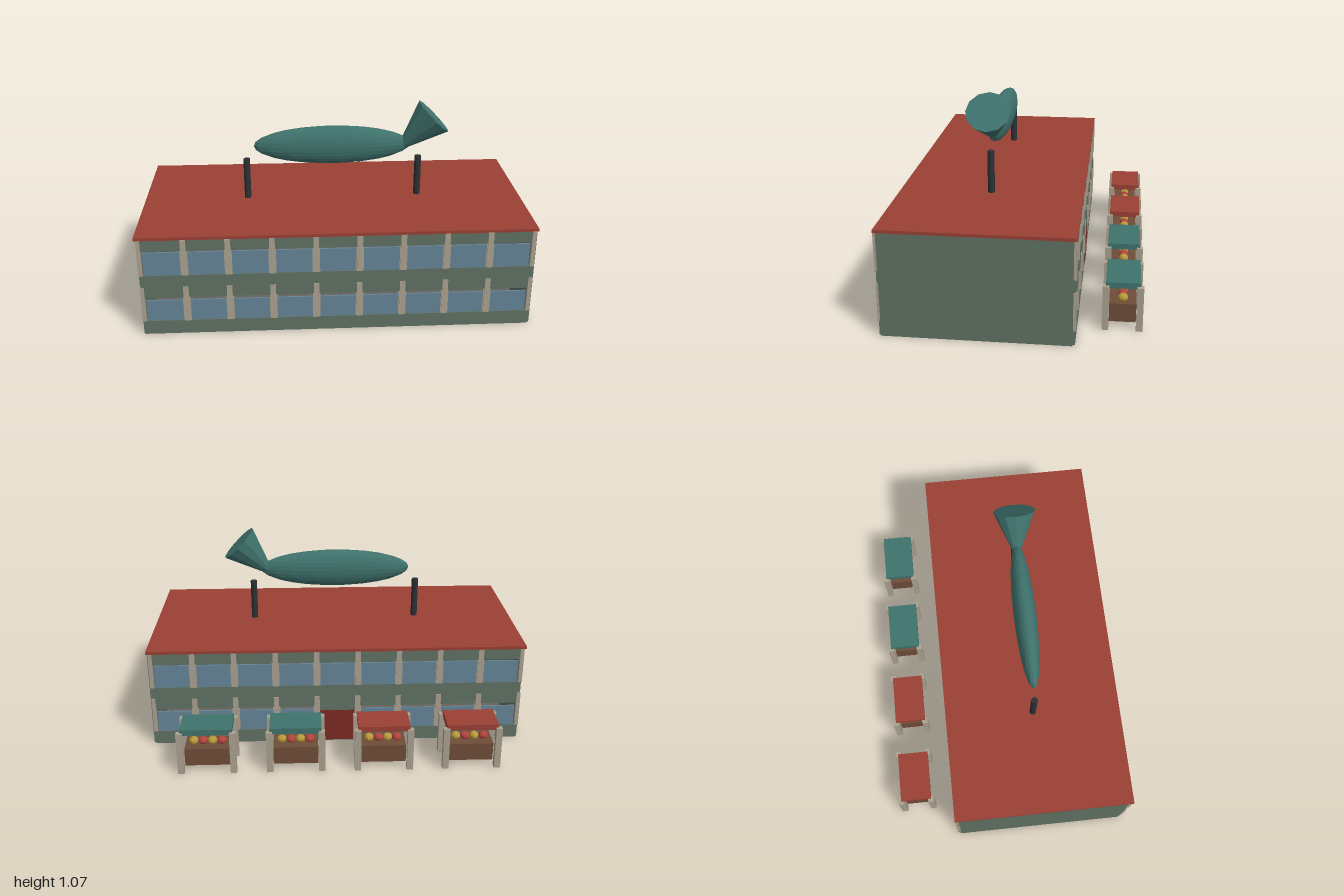
import * as THREE from 'three';

const mat = (color) => new THREE.MeshStandardMaterial({ color, flatShading: true });
const M = {
  wall: mat(0x607064), roof: mat(0x9a4034), glass: mat(0x648498), trim: mat(0xaaa08e),
  teal: mat(0x3f726c), pole: mat(0x2c3034), wood: mat(0x6e4d38), floor: mat(0x66625c),
  yellow: mat(0xb8983a), red: mat(0xb0453c), door: mat(0x7a2a22),
};

function add(parent, name, geometry, material, x = 0, y = 0, z = 0) {
  const mesh = new THREE.Mesh(geometry, material);
  mesh.name = name;
  mesh.position.set(x, y, z);
  parent.add(mesh);
  return mesh;
}

// Box given by its lower and upper limits
function box(parent, name, material, [x0, x1], [y0, y1], [z0, z1]) {
  return add(parent, name, new THREE.BoxGeometry(x1 - x0, y1 - y0, z1 - z0), material,
    (x0 + x1) / 2, (y0 + y1) / 2, (z0 + z1) / 2);
}

// One long side: wall bands, window panes and pilasters in nine bays
function facade(name, hasDoor) {
  const g = new THREE.Group();
  g.name = name;
  const bays = 9, pitch = 1.96 / bays, edge = -0.98;
  for (const [y0, y1] of [[0, 0.075], [0.21, 0.335], [0.47, 0.532]]) {
    box(g, 'wallBand', M.wall, [-0.985, 0.985], [y0, y1], [-0.008, 0.008]);
  }
  for (const [base, glassTop, top] of [[0.075, 0.19, 0.27], [0.335, 0.46, 0.531]]) {
    for (let i = 0; i <= bays; i++) {
      const x = edge + i * pitch;
      const w = i === 0 || i === bays ? 0.01 : 0.014;
      box(g, 'pilaster', M.trim, [x - w, x + w], [base, top], [-0.006, 0.012]);
      if (i === bays) break;
      if (hasDoor && i === 4 && base < 0.1) continue;
      box(g, 'windowPane', M.glass, [x + 0.015, x + pitch - 0.015], [base, glassTop], [-0.006, 0.003]);
    }
    // wider mullions behind the pilasters
    for (let i = 1; i < bays; i++) {
      const x = edge + i * pitch;
      box(g, 'mullion', M.trim, [x - 0.019, x + 0.019], [base, glassTop + 0.012], [-0.004, 0.007]);
    }
  }
  if (hasDoor) {
    box(g, 'door', M.door, [-0.093, 0.093], [0.005, 0.186], [-0.006, 0.011]);
    box(g, 'doorLintel', M.wall, [-0.098, 0.098], [0.186, 0.212], [-0.006, 0.011]);
  }
  return g;
}

// Market stall with four posts, a flat canopy, a counter and fruit
function stall(x, canopy) {
  const g = new THREE.Group();
  g.name = 'marketStall';
  g.position.set(x, 0, -0.527);
  for (const sx of [-1, 1]) for (const sz of [-1, 1]) {
    add(g, 'stallPost', new THREE.BoxGeometry(0.032, 0.228, 0.032), M.trim, sx * 0.134, 0.114, sz * 0.082);
  }
  add(g, 'stallCanopy', new THREE.BoxGeometry(0.264, 0.03, 0.166), canopy, 0, 0.23, 0);
  add(g, 'stallCounter', new THREE.BoxGeometry(0.23, 0.095, 0.13), M.wood, 0, 0.0775, 0);
  for (let i = 0; i < 4; i++) {
    const fruit = add(g, 'fruit', new THREE.SphereGeometry(0.025, 10, 7), i % 2 ? M.yellow : M.red,
      -0.072 + i * 0.048, 0.14, 0);
    fruit.scale.y = 0.85;
  }
  return g;
}

export function createModel() {
  const model = new THREE.Group();
  model.name = 'marketHall';

  // Hollow hall: floor, end walls and roof
  box(model, 'floor', M.floor, [-0.97, 0.97], [0.002, 0.012], [-0.295, 0.6]);
  box(model, 'leftWall', M.wall, [0.978, 0.996], [0, 0.531], [-0.3, 0.61]);
  box(model, 'rightWall', M.wall, [-0.99, -0.972], [0, 0.531], [-0.3, 0.61]);
  box(model, 'roof', M.roof, [-1, 1], [0.53, 0.546], [-0.315, 0.622]);

  const front = facade('frontFacade', false);
  front.position.z = 0.612;
  const back = facade('backFacade', true);
  back.rotation.y = Math.PI;
  back.position.z = -0.303;
  model.add(front, back);

  // Roof posts
  for (const x of [-0.457, 0.452]) {
    add(model, 'roofPost', new THREE.CylinderGeometry(0.018, 0.018, 0.22, 10), M.pole, x, 0.655, 0.155);
  }

  // Fish sign: stretched ball with a cone tail
  const fish = new THREE.Group();
  fish.name = 'fishSign';
  const body = add(fish, 'fishBody', new THREE.SphereGeometry(1, 20, 14), M.teal, -0.005, 0.837, 0.155);
  body.scale.set(0.412, 0.103, 0.06);
  const tail = add(fish, 'fishTail', new THREE.ConeGeometry(0.112, 0.28, 12), M.teal, 0.427, 0.887, 0.155);
  tail.rotation.z = Math.PI * 0.75;
  model.add(fish);

  // Row of stalls behind the hall
  [[-0.68, M.roof], [-0.228, M.roof], [0.224, M.teal], [0.677, M.teal]]
    .forEach(([x, canopy]) => model.add(stall(x, canopy)));

  return model;
}
